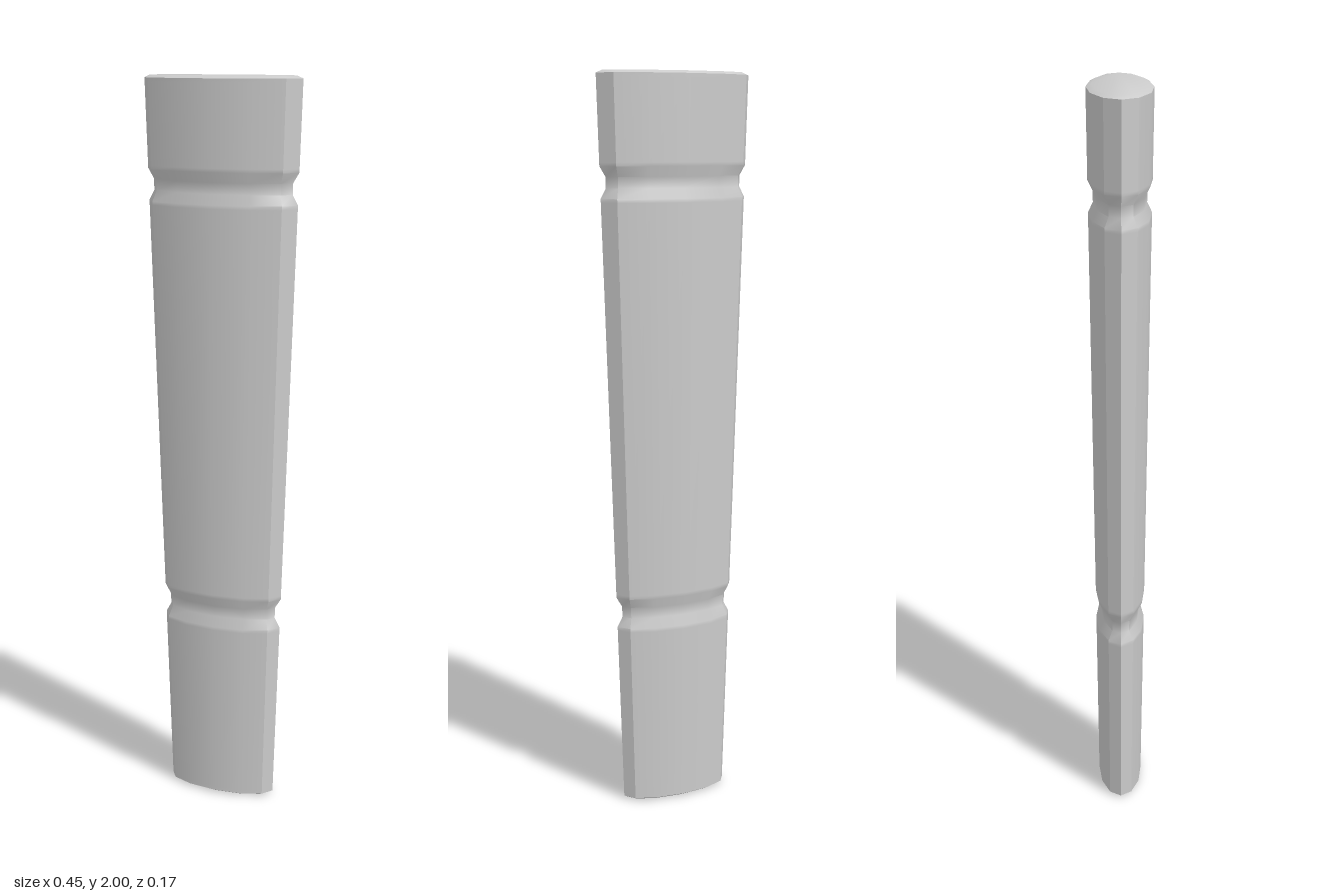
import * as THREE from 'three';
import { toCreasedNormals } from 'three/addons/utils/BufferGeometryUtils.js';

const SIDES = 12;
const DEPTH_RATIO = 0.39;

// Half width of the evenly tapering leg at a height
const halfWidth = (y) => 0.156 + 0.034 * y;

// Flat twelve-sided oval at height y, its sides all moved inwards by inset
function ring(y, inset) {
  const a = halfWidth(y);
  const corner = (k) => {
    const t = (k / SIDES) * Math.PI * 2;
    return new THREE.Vector2(a * Math.cos(t), a * DEPTH_RATIO * Math.sin(t));
  };
  const sideNormal = (k) => {
    const d = corner(k + 1).sub(corner(k));
    return new THREE.Vector2(d.y, -d.x).normalize();
  };
  return Array.from({ length: SIDES }, (_, k) => {
    const n = sideNormal(k);
    const miter = sideNormal(k - 1).add(n).normalize();
    const p = corner(k).addScaledVector(miter, -inset / miter.dot(n));
    return [p.x, y, p.y];
  });
}

// Rings that dip into a groove and out again, with a support ring on each side
const groove = (y) => [
  [y - 0.052, 0], [y - 0.042, 0], [y - 0.015, 0.013],
  [y + 0.015, 0.013], [y + 0.042, 0], [y + 0.052, 0],
];

// Joins the rings into a closed skin
function loft(rings) {
  const positions = rings.flat(2);
  const index = [];
  const last = (rings.length - 1) * SIDES;
  for (let r = 0; r < rings.length - 1; r++) {
    for (let k = 0; k < SIDES; k++) {
      const a = r * SIDES + k;
      const b = r * SIDES + ((k + 1) % SIDES);
      index.push(a, a + SIDES, b, b, a + SIDES, b + SIDES);
    }
  }
  // End caps
  for (let k = 1; k < SIDES - 1; k++) {
    index.push(0, k, k + 1, last, last + k + 1, last + k);
  }
  const geometry = new THREE.BufferGeometry();
  geometry.setAttribute('position', new THREE.Float32BufferAttribute(positions, 3));
  geometry.setIndex(index);
  return toCreasedNormals(geometry, THREE.MathUtils.degToRad(32));
}

export function createModel() {
  const group = new THREE.Group();
  group.name = 'furnitureLeg';

  // Height and inset of each ring: bevelled foot, two grooves, bevelled top
  const profile = [
    [0, 0.012], [0.007, 0], [0.017, 0],
    ...groove(0.548),
    ...groove(1.715),
    [1.983, 0], [1.993, 0], [2, 0.014],
  ];

  const leg = new THREE.Mesh(
    loft(profile.map(([y, inset]) => ring(y, inset))),
    new THREE.MeshStandardMaterial({ color: 0xcccccc })
  );
  leg.name = 'taperedLeg';
  group.add(leg);
  return group;
}
